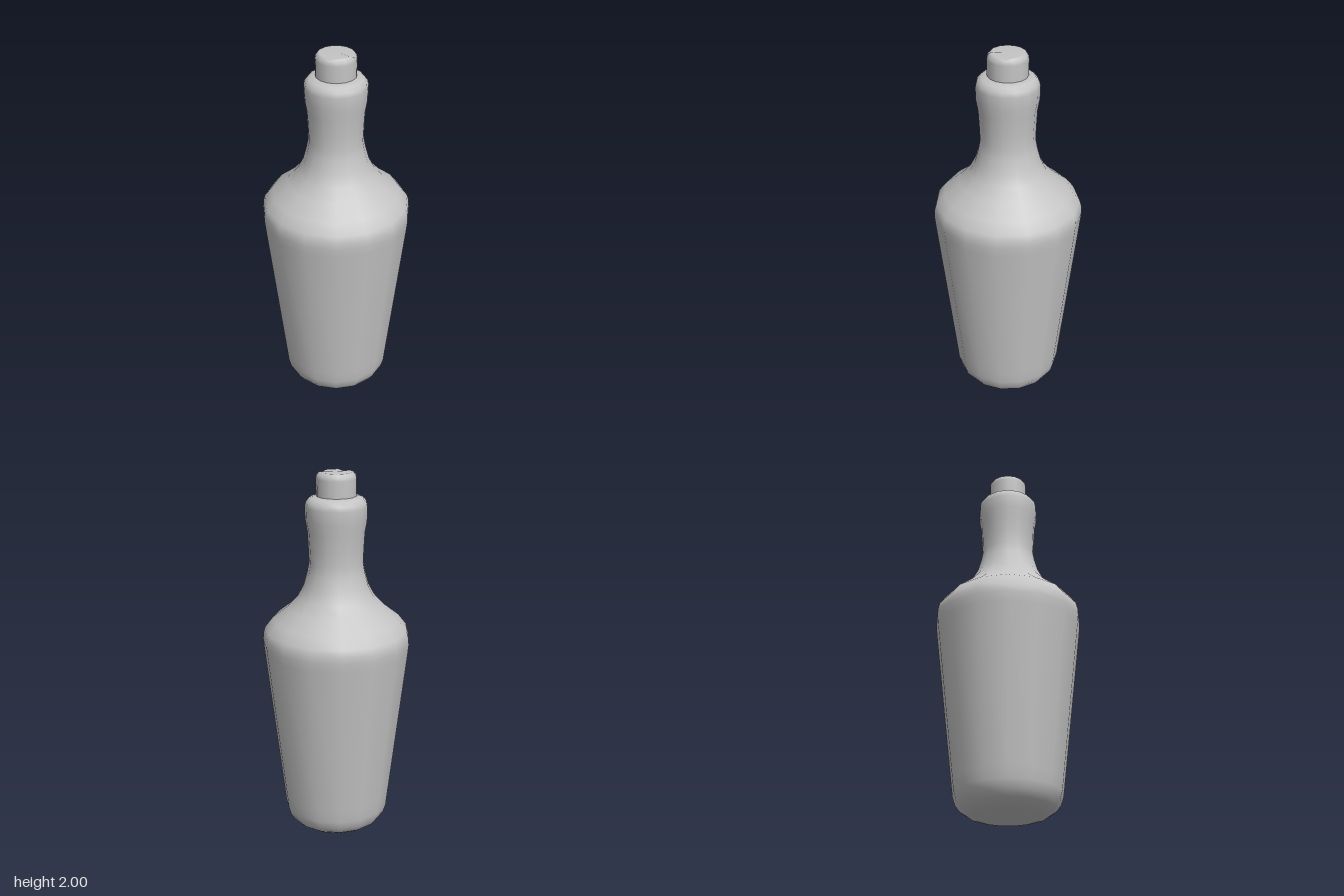
import * as THREE from 'three';

const SIDES = 15;

// Turns [radius, height] pairs, listed from bottom to top, with a corner at the back
function turned(name, profile, material) {
  const points = profile.map(([r, y]) => new THREE.Vector2(r, y));
  const mesh = new THREE.Mesh(new THREE.LatheGeometry(points, SIDES, Math.PI), material);
  mesh.name = name;
  mesh.position.z = 0.004;
  return mesh;
}

export function createModel() {
  const group = new THREE.Group();
  group.name = 'bottle';
  const grey = new THREE.MeshStandardMaterial({ color: 0xc4c4c4 });
  grey.name = 'plain grey';

  // Hollow-looking glass body: base, tapered wall, shoulder, neck and lip
  group.add(turned('bottleBody', [
    [0, 0.005], [0.165, 0.005], [0.21, 0.018], [0.25, 0.045], [0.275, 0.08], [0.288, 0.125],
    [0.295, 0.19], [0.393, 1.04], [0.398, 1.09], [0.396, 1.125], [0.386, 1.16],
    [0.343, 1.215], [0.26, 1.28], [0.205, 1.34], [0.174, 1.4], [0.155, 1.47],
    [0.145, 1.525], [0.148, 1.6], [0.153, 1.69], [0.164, 1.75], [0.166, 1.82],
    [0.16, 1.845], [0.142, 1.867], [0.105, 1.877], [0, 1.877],
  ], grey));

  // Stopper with a rounded top edge
  const stopper = turned('stopper', [
    [0.106, 1.87], [0.107, 1.965], [0.104, 1.982], [0.094, 1.996], [0.086, 2], [0, 2],
  ], grey);

  // Small chips in the top edge, at front left and right
  const position = stopper.geometry.attributes.position;
  const chips = [[-0.052, 0.078], [0.09, 0.032]];
  for (let i = 0; i < position.count; i++) {
    const x = position.getX(i), y = position.getY(i), z = position.getZ(i);
    if (y > 1.99 && chips.some(([cx, cz]) => Math.hypot(x - cx, z - cz) < 0.022)) {
      position.setY(i, y - 0.012);
    }
  }
  group.add(stopper);
  return group;
}
